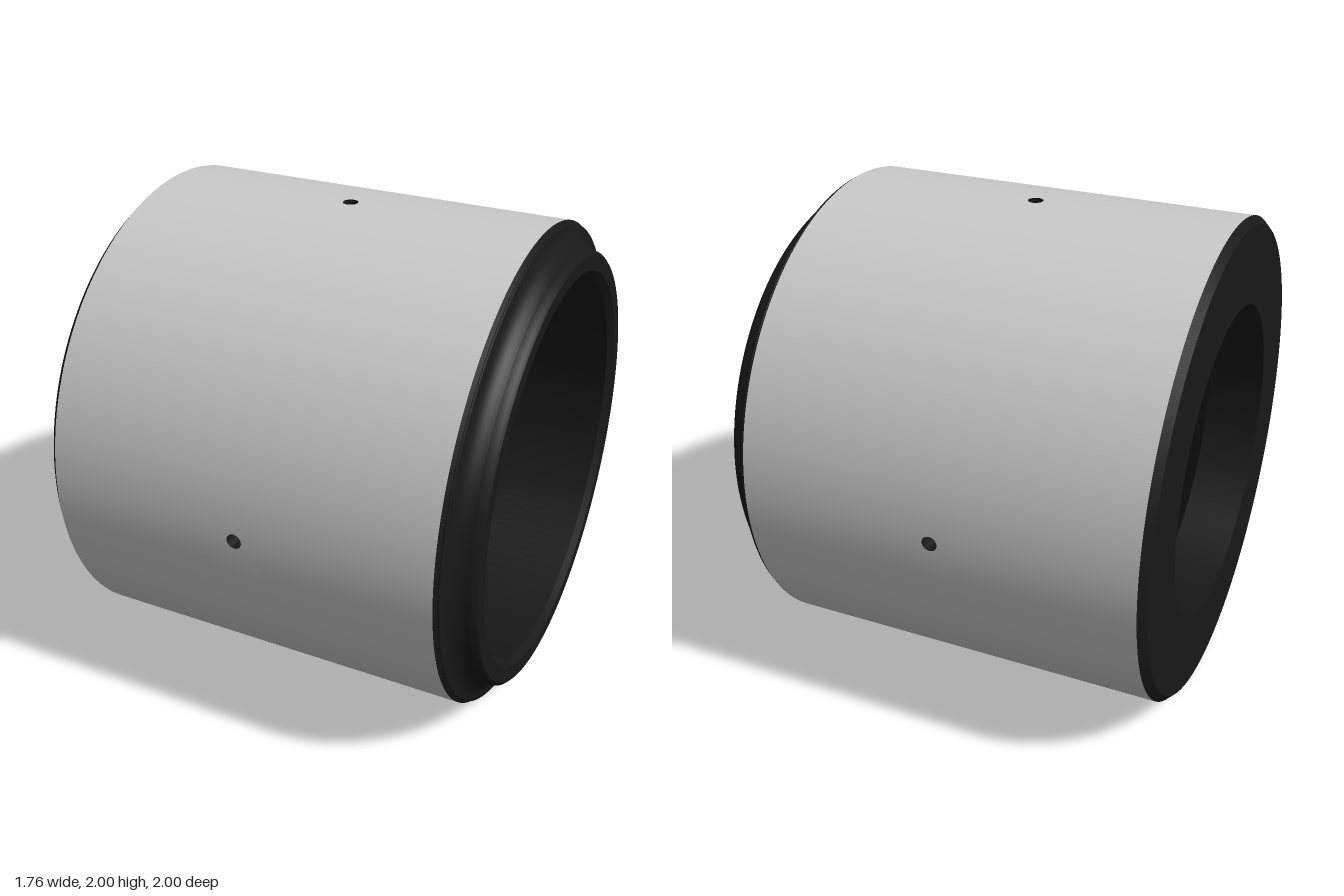
import * as THREE from 'three';

const SEG = 160;                       // sides around the sleeve
const HALF = 4 * 2 * Math.PI / SEG;    // half angle of the patch round a hole
const HOLE_X = -0.045, HOLE_R = 0.031, PATCH = 0.12;
const BORE = 0.79;

const grey = new THREE.MeshStandardMaterial({ color: 0xcccccc });
const black = new THREE.MeshStandardMaterial({ color: 0x181818 });

function mesh(geometry, material, name) {
  const m = new THREE.Mesh(geometry, material);
  m.name = name;
  return m;
}

// Surface turned about the x axis from [x, radius] points
function turned(points, seg = SEG, start = 0, length = Math.PI * 2) {
  const profile = points.map(([x, r]) => new THREE.Vector2(r, x));
  return new THREE.LatheGeometry(profile, seg, start, length).rotateZ(-Math.PI / 2);
}

// Curved square patch with a round hole: an inner circle joined to an outer square
function holedPatch(r, phi0, outward) {
  const n = 32, pos = [], nor = [], idx = [], sign = outward ? 1 : -1;
  const add = (x, phi) => {
    const y = -Math.sin(phi), z = Math.cos(phi);
    pos.push(x, r * y, r * z);
    nor.push(0, sign * y, sign * z);
  };
  for (let j = 0; j < n; j++) {
    const s = j / n * Math.PI * 2 - Math.PI / 4;
    const t = (j % 8) / 4 - 1;
    const [u, v] = [[1, t], [-t, 1], [-1, -t], [t, -1]][Math.floor(j / 8)];
    add(HOLE_X + HOLE_R * Math.cos(s), phi0 - Math.asin(HOLE_R * Math.sin(s) / r));
    add(HOLE_X + PATCH * u, phi0 - HALF * v);
    const i = 2 * j, o = i + 1, i2 = (i + 2) % (2 * n), o2 = i2 + 1;
    if (outward) idx.push(i, o, o2, i, o2, i2);
    else idx.push(i, o2, o, i, i2, o2);
  }
  const g = new THREE.BufferGeometry();
  g.setAttribute('position', new THREE.Float32BufferAttribute(pos, 3));
  g.setAttribute('normal', new THREE.Float32BufferAttribute(nor, 3));
  g.setIndex(idx);
  return g;
}

// Cylindrical wall pierced by four holes
function piercedWall(r, x0, x1, outward, material, name) {
  const group = new THREE.Group();
  group.name = name;
  const span = (a, b) => outward ? [[a, r], [b, r]] : [[b, r], [a, r]];
  const lo = HOLE_X - PATCH, hi = HOLE_X + PATCH;
  group.add(mesh(turned(span(x0, lo)), material, name + 'Rear'));
  group.add(mesh(turned(span(hi, x1)), material, name + 'Fore'));
  for (let k = 0; k < 4; k++) {
    const phi = k * Math.PI / 2;
    group.add(mesh(turned(span(lo, hi), SEG / 4 - 8, phi + HALF, Math.PI / 2 - 2 * HALF), material, name + 'Arc'));
    group.add(mesh(holedPatch(r, phi, outward), material, name + 'HoleSurround'));
  }
  return group;
}

export function createModel() {
  const model = new THREE.Group();
  model.name = 'sleeve';

  // Outer skin and main bore
  model.add(piercedWall(1, -0.85, 0.755, true, grey, 'outerWall'));
  model.add(piercedWall(BORE, -0.5, 0.855, false, black, 'bore'));

  // Concave neck running from the body down to the raised lip
  const neck = [[0.768, 0.985]];
  for (let i = 0; i <= 10; i++) {
    const a = i / 10 * 1.3;
    neck.push([0.865 - 0.09 * Math.cos(a), 0.988 - 0.09 * Math.sin(a)]);
  }

  // Each smooth section is its own strip, so the edges between stay sharp
  const sections = {
    rearChamfer: [[-0.88, 0.97], [-0.85, 1]],
    frontChamfer: [[0.755, 1], [0.768, 0.985]],
    neck,
    lipChamfer: [neck[neck.length - 1], [0.868, 0.895], [0.88, 0.882]],
    lipFace: [[0.88, 0.882], [0.88, 0.82]],
    boreChamfer: [[0.88, 0.82], [0.855, BORE]],
    shoulder: [[-0.5, BORE], [-0.64, 0.65]],
    rearOpening: [[-0.64, 0.65], [-0.88, 0.65]],
    rearFace: [[-0.88, 0.65], [-0.88, 0.97]],
  };
  for (const [name, points] of Object.entries(sections)) {
    model.add(mesh(turned(points), black, name));
  }

  // Walls of the four radial holes
  const holeMaterial = new THREE.MeshStandardMaterial({ color: 0x181818, side: THREE.BackSide });
  const holeGeometry = new THREE.CylinderGeometry(HOLE_R, HOLE_R, 0.9995 - BORE, 32, 1, true);
  holeGeometry.translate(HOLE_X, (0.9995 + BORE) / 2, 0);
  for (let k = 0; k < 4; k++) {
    const hole = mesh(holeGeometry, holeMaterial, 'radialHole');
    hole.rotation.x = k * Math.PI / 2;
    model.add(hole);
  }

  model.position.y = 1;
  const root = new THREE.Group();
  root.add(model);
  return root;
}
